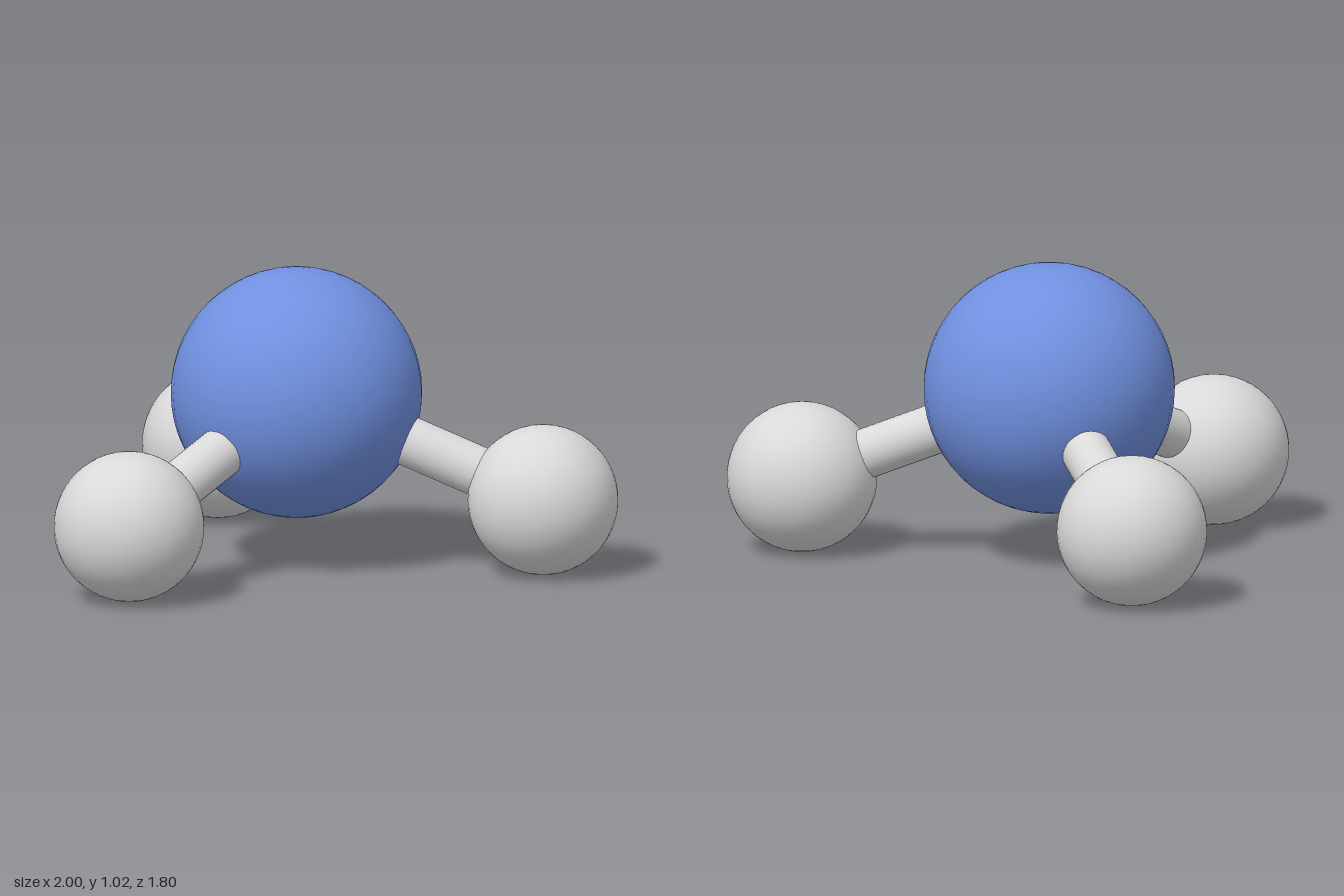
import * as THREE from 'three';

export function createModel() {
  const model = new THREE.Group();
  const blue = new THREE.MeshStandardMaterial({ name: 'blue', color: 0x7090e0 });
  const lightGrey = new THREE.MeshStandardMaterial({ name: 'lightGrey', color: 0xd9d9d9 });

  const addBall = (name, position, radius, material) => {
    const ball = new THREE.Mesh(new THREE.SphereGeometry(radius, 40, 28), material);
    ball.name = name;
    ball.position.copy(position);
    model.add(ball);
  };

  // Rod running from one ball centre to another
  const addRod = (name, from, to, radius) => {
    const direction = to.clone().sub(from);
    const rod = new THREE.Mesh(new THREE.CylinderGeometry(radius, radius, direction.length(), 32), lightGrey);
    rod.name = name;
    rod.position.copy(from).add(to).multiplyScalar(0.5);
    rod.quaternion.setFromUnitVectors(new THREE.Vector3(0, 1, 0), direction.normalize());
    model.add(rod);
  };

  // Large central atom
  const centre = new THREE.Vector3(0, 0.598, -0.214);
  addBall('centralAtom', centre, 0.429, blue);

  // Three outer atoms spaced evenly around the vertical axis, each on a bond
  ['front', 'backLeft', 'backRight'].forEach((side, i) => {
    const angle = (i * Math.PI * 2) / 3;
    const outer = new THREE.Vector3(0.858 * Math.sin(angle), 0.259, centre.z + 0.858 * Math.cos(angle));
    addBall(side + 'Atom', outer, 0.257, lightGrey);
    addRod(side + 'Bond', centre, outer, 0.086);
  });

  return model;
}
